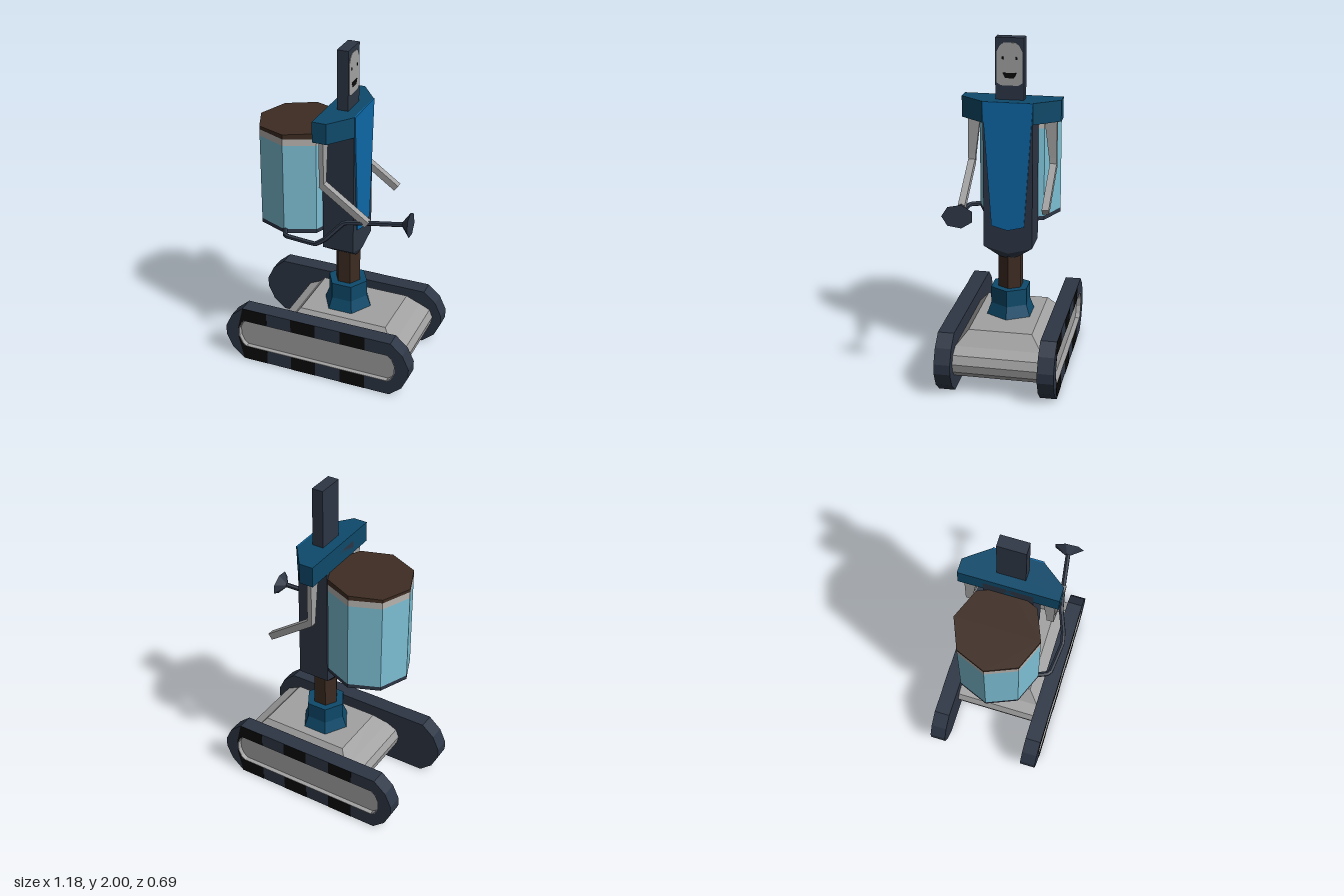
import * as THREE from 'three';

const paint = (name, color) => {
  const m = new THREE.MeshStandardMaterial({ color, flatShading: true, side: THREE.DoubleSide });
  m.name = name;
  return m;
};

// Closed solid through rings of [x, y, z], each running from +z towards +x as seen from above
function loft(rings) {
  const n = rings[0].length, last = rings.length - 1, idx = [];
  for (let r = 0; r < last; r++) {
    for (let i = 0; i < n; i++) {
      const j = (i + 1) % n, a = r * n + i, b = r * n + j;
      idx.push(a, b, b + n, a, b + n, a + n);
    }
  }
  for (let i = 1; i < n - 1; i++) {
    idx.push(0, i + 1, i, last * n, last * n + i, last * n + i + 1);
  }
  const g = new THREE.BufferGeometry();
  g.setAttribute('position', new THREE.Float32BufferAttribute(rings.flat(2), 3));
  g.setIndex(idx);
  const flat = g.toNonIndexed();
  flat.computeVertexNormals();
  return flat;
}

const rect = (y, x0, x1, z0, z1) => [[x0, y, z1], [x1, y, z1], [x1, y, z0], [x0, y, z0]];
const shapeOf = (pts) => new THREE.Shape(pts.map(([x, y]) => new THREE.Vector2(x, y)));
const extrude = (shape, depth) => new THREE.ExtrudeGeometry(shape, { depth, bevelEnabled: false });

export function createModel() {
  const slate = paint('slate', 0x2d3645);
  const black = paint('black', 0x0a0a0a);
  const grey = paint('grey', 0xa2a2a2);
  const teal = paint('teal', 0x0e4a6b);
  const blue = paint('blue', 0x0d68a6);
  const sky = paint('sky blue', 0x7cbfd4);
  const brown = paint('brown', 0x3d2c22);
  const pale = paint('pale grey', 0xb8b4b0);

  const model = new THREE.Group();
  const add = (name, geo, mat, parent = model) => {
    const m = new THREE.Mesh(geo, mat);
    m.name = name;
    parent.add(m);
    return m;
  };

  // Tracks with a recessed side panel and a chequered rim
  const outer = [[-0.475, 0], [0.475, 0], [0.55, 0.065], [0.59, 0.15], [0.59, 0.21], [0.55, 0.295],
    [0.475, 0.36], [-0.475, 0.36], [-0.55, 0.295], [-0.59, 0.21], [-0.59, 0.15], [-0.55, 0.065]];
  const inner = [[-0.46, 0.09], [0.46, 0.09], [0.485, 0.11], [0.505, 0.155], [0.505, 0.21], [0.485, 0.255],
    [0.46, 0.275], [-0.46, 0.275], [-0.485, 0.255], [-0.505, 0.21], [-0.505, 0.155], [-0.485, 0.11]];
  const lining = inner.map(([x, y]) => [x * 0.992, (y - 0.1825) * 0.97 + 0.1825]);
  for (const side of [1, -1]) {
    const track = new THREE.Group();
    track.name = side > 0 ? 'frontTrack' : 'backTrack';
    add('trackBody', extrude(shapeOf(outer), 0.065), slate, track).position.z = 0.25;
    const rim = shapeOf(outer);
    rim.holes.push(shapeOf(inner));
    add('trackRim', extrude(rim, 0.03), slate, track).position.z = 0.315;
    const wall = shapeOf(inner);
    wall.holes.push(shapeOf(lining));
    add('recessWall', extrude(wall, 0.03), grey, track).position.z = 0.315;
    add('recessPanel', extrude(shapeOf(inner), 0.002), grey, track).position.z = 0.315;
    for (const x of [-0.396, -0.079, 0.238]) {
      for (const y of [0.045, 0.3175]) {
        const tread = new THREE.BoxGeometry(0.158, y < 0.1 ? 0.09 : 0.085, 0.002);
        add('treadMark', tread, black, track).position.set(x, y, 0.3455);
      }
    }
    for (const s of [1, -1]) {
      const tip = shapeOf([[-0.475, 0.1825 + s * 0.1775], [-0.51, 0.1825 + s * 0.03],
        [-0.505, 0.1825 + s * 0.03], [-0.485, 0.1825 + s * 0.0725], [-0.475, 0.1825 + s * 0.082]]);
      add('treadTip', extrude(tip, 0.0015), black, track).position.z = 0.345;
    }
    if (side < 0) track.rotation.y = Math.PI;
    model.add(track);
  }

  // Chassis between the tracks
  add('chassis', loft([
    rect(0.10, -0.26, 0.485, -0.25, 0.25), rect(0.14, -0.30, 0.525, -0.25, 0.25),
    rect(0.19, -0.31, 0.535, -0.25, 0.25), rect(0.24, -0.29, 0.515, -0.25, 0.25),
    rect(0.27, -0.225, 0.45, -0.25, 0.25), rect(0.35, -0.16, 0.385, -0.185, 0.185),
  ]), grey);

  // Hexagonal swivel and waist post
  const hex = (name, rTop, rBottom, y0, y1, mat) => {
    const g = new THREE.CylinderGeometry(rTop, rBottom, y1 - y0, 6).rotateY(Math.PI / 2);
    add(name, g, mat).position.set(0.072, (y0 + y1) / 2, 0);
  };
  hex('swivelFlare', 0.122, 0.15, 0.345, 0.42, teal);
  hex('swivelCollar', 0.122, 0.122, 0.42, 0.52, teal);
  hex('waistPost', 0.077, 0.077, 0.5, 0.74, brown);

  // Torso, tapered underneath
  const torsoRing = (y, mid, x0, x1, w) =>
    [[x0, y, w], [x1, y, w], [x1, mid, 0], [x1, y, -w], [x0, y, -w], [x0, mid, 0]];
  add('torso', loft([
    torsoRing(0.72, 0.71, 0, 0.14, 0.05), torsoRing(0.785, 0.745, -0.03, 0.16, 0.143),
    torsoRing(1.6, 1.6, -0.03, 0.16, 0.143),
  ]), slate);

  // Chest panel; the shape's x runs along -z after turning
  const chest = shapeOf([[-0.145, 1.648], [-0.095, 0.915], [0, 0.89], [0.095, 0.915], [0.145, 1.648]]);
  add('chestPanel', extrude(chest, 0.008).rotateY(Math.PI / 2), blue).position.x = 0.16;

  // Shoulder yoke
  const yoke = [[-0.03, 0.287], [0.055, 0.287], [0.163, 0.145], [0.163, -0.145], [0.055, -0.287], [-0.03, -0.287]];
  add('shoulders', loft([1.525, 1.648].map((y) => yoke.map(([x, z]) => [x, y, z]))), teal);

  // Head with a thin face plate
  add('head', new THREE.BoxGeometry(0.068, 0.36, 0.164), slate).position.set(0.066, 1.82, 0);
  const face = shapeOf([[-0.05, 1.73], [0.05, 1.73], [0.073, 1.745], [0.073, 1.92], [0.055, 1.955],
    [0.035, 1.972], [-0.035, 1.972], [-0.055, 1.955], [-0.073, 1.92], [-0.073, 1.745]]);
  add('face', extrude(face, 0.003).rotateY(Math.PI / 2), grey).position.x = 0.1;
  const mouth = shapeOf([[-0.04, 1.802], [-0.025, 1.772], [0.025, 1.772], [0.04, 1.802]]);
  add('mouth', extrude(mouth, 0.002).rotateY(Math.PI / 2), black).position.x = 0.103;
  for (const s of [1, -1]) {
    add('eye', new THREE.BoxGeometry(0.002, 0.014, 0.01), black).position.set(0.104, 1.885, s * 0.04);
  }

  // Arms
  for (const s of [1, -1]) {
    const span = (a, b) => (s > 0 ? [a, b] : [-b, -a]);
    add('upperArm', loft([
      rect(1.24, -0.002, 0.028, ...span(0.22, 0.26)),
      rect(1.3, -0.002, 0.026, ...span(0.215, 0.26)),
      rect(1.54, -0.002, 0.024, ...span(0.185, 0.26)),
    ]), grey);
    const fore = add('forearm', new THREE.BoxGeometry(0.34, 0.04, 0.04), grey);
    fore.position.set(0.147, 1.156, s * 0.24);
    fore.rotation.z = Math.atan2(-0.195, 0.275);
  }

  // Octagonal tank on the back
  const tank = (name, y0, y1, mat, tilt = 0) => {
    const ring = (y, slope) => Array.from({ length: 8 }, (_, i) => {
      const a = (i * Math.PI) / 4, x = 0.247 * Math.sin(a);
      return [x - 0.23, y + (x + 0.247) * slope, 0.247 * Math.cos(a)];
    });
    add(name, loft([ring(y0, 0), ring(y1, tilt)]), mat);
  };
  tank('tankBase', 0.89, 0.915, slate);
  tank('tankBody', 0.915, 1.45, sky);
  tank('tankBand', 1.45, 1.49, pale);
  tank('tankLid', 1.49, 1.507, brown, 0.04);

  // Hose from the tank to the nozzle
  const path = new THREE.CatmullRomCurve3([
    [-0.23, 0.91, 0.23], [-0.195, 0.91, 0.305], [0, 0.91, 0.325], [0.06, 0.95, 0.312],
    [0.155, 1.052, 0.268], [0.3, 1.065, 0.24], [0.49, 1.083, 0.212],
  ].map((p) => new THREE.Vector3(...p)), false, 'catmullrom', 0.08);
  add('hose', new THREE.TubeGeometry(path, 36, 0.015, 6), slate);
  const nozzle = new THREE.CylinderGeometry(0.09, 0.018, 0.045, 7).scale(0.75, 1, 1).rotateZ(-Math.PI / 2);
  const nozzleMesh = add('nozzle', nozzle, slate);
  nozzleMesh.position.set(0.505, 1.085, 0.208);
  nozzleMesh.rotation.set(0, 0.1, 0.08);

  return model;
}
